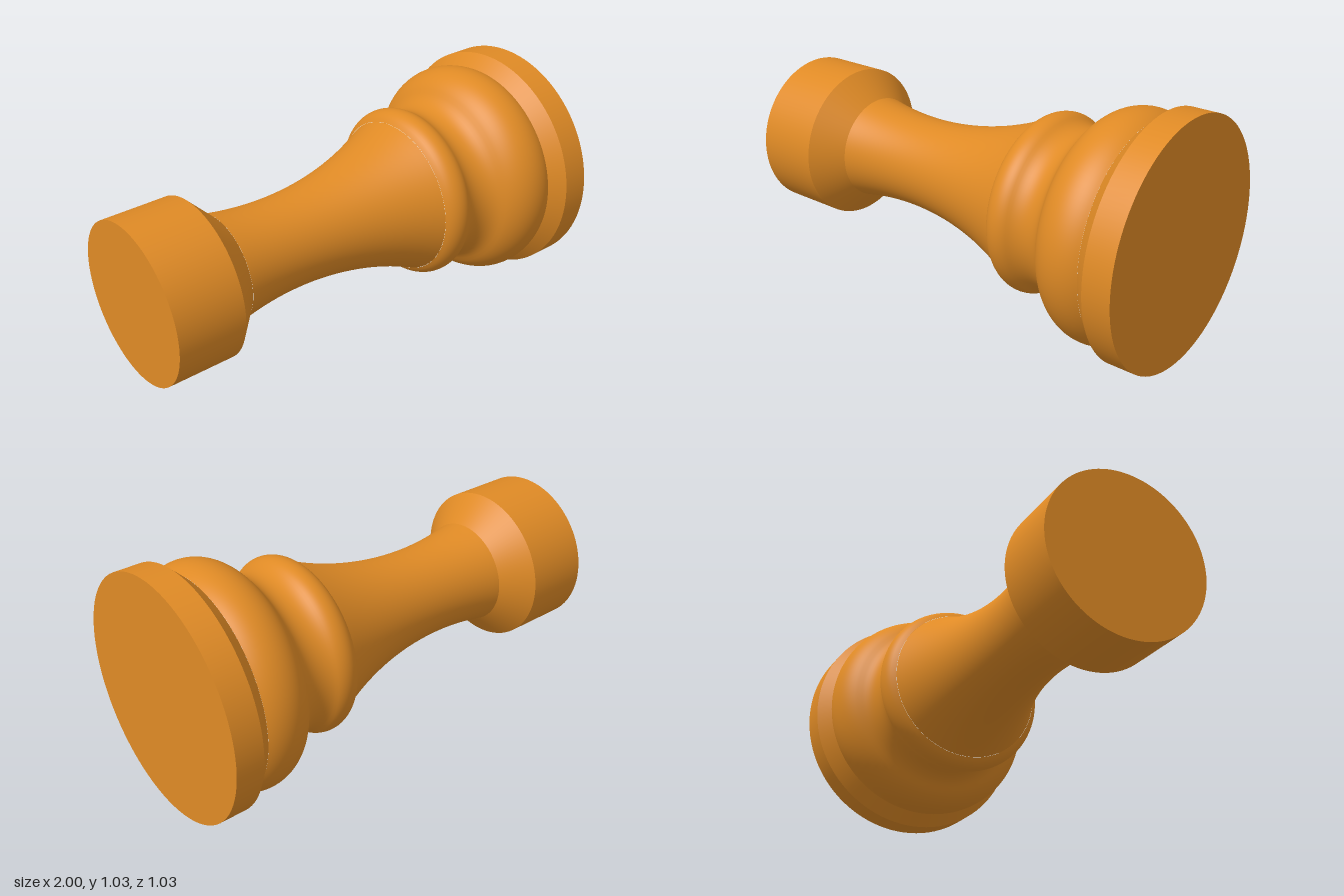
import * as THREE from 'three';

const AXIS_Y = 0.513;
const SEGMENTS = 96;

// Points on a circular profile arc; side +1 bulges outward, -1 curves inward
function arc(cx, cr, radius, x0, x1, side, steps) {
  const points = [];
  for (let i = 0; i <= steps; i++) {
    const x = x0 + ((x1 - x0) * i) / steps;
    points.push([x, cr + side * Math.sqrt(radius ** 2 - (x - cx) ** 2)]);
  }
  return points;
}

export function createModel() {
  const group = new THREE.Group();
  group.name = 'turnedSpindle';
  const wood = new THREE.MeshStandardMaterial({ color: 0xdf8a25 });
  wood.name = 'warmWood';

  // Each part is a profile of [x, radius] turned about the long axis
  function turn(name, profile) {
    const points = profile.map(([x, r]) => new THREE.Vector2(r, x));
    const geometry = new THREE.LatheGeometry(points, SEGMENTS);
    geometry.rotateZ(-Math.PI / 2);
    const mesh = new THREE.Mesh(geometry, wood);
    mesh.name = name;
    mesh.position.y = AXIS_Y;
    group.add(mesh);
  }

  // Narrow end block with a chamfer into the neck
  turn('tipFace', [[-1, 0], [-1, 0.342]]);
  turn('tipBlock', [[-1, 0.342], [-0.71, 0.342]]);
  turn('tipChamfer', [[-0.71, 0.342], [-0.598, 0.227]]);

  // Long hollow-curved neck
  turn('neck', arc(-0.31, 1.649, 1.45, -0.598, 0.315, -1, 32));

  // Small bead, cove and large bead flow smoothly into each other
  turn('beads', [
    ...arc(0.385, 0.303, 0.08, 0.315, 0.43, 1, 14),
    ...arc(0.5, 0.459, 0.114, 0.43, 0.595, -1, 16).slice(1),
    ...arc(0.74, 0.315, 0.166, 0.595, 0.825, 1, 22).slice(1),
  ]);

  // Wide foot
  turn('footChamfer', [[0.825, 0.457], [0.882, 0.513]]);
  turn('footRim', [[0.882, 0.513], [1, 0.513]]);
  turn('footFace', [[1, 0.513], [1, 0]]);

  return group;
}
